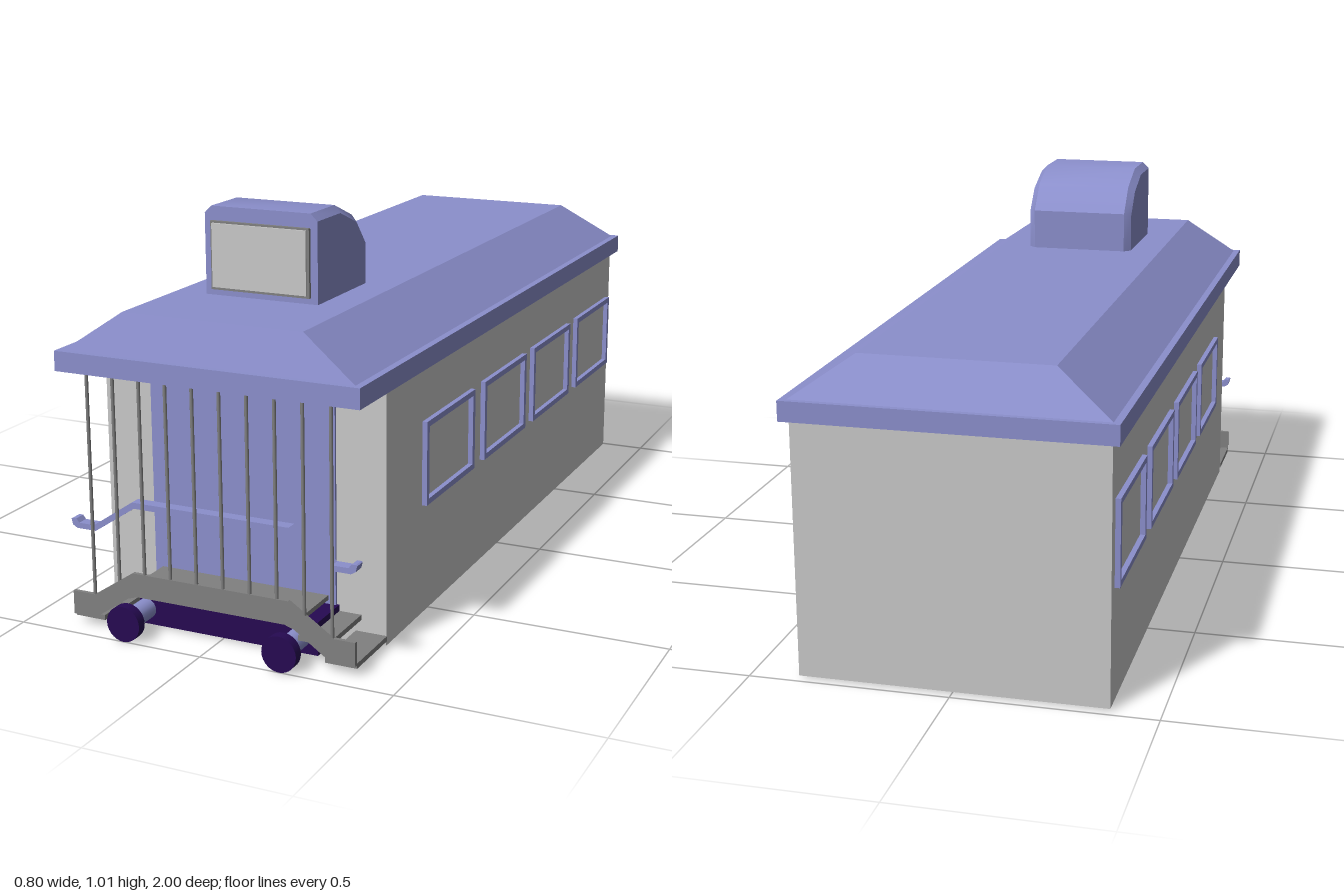
import * as THREE from 'three';
import { toCreasedNormals } from 'three/addons/utils/BufferGeometryUtils.js';

function material(name, color) {
  const m = new THREE.MeshStandardMaterial({ color });
  m.name = name;
  return m;
}

export function createModel() {
  const model = new THREE.Group();
  model.name = 'railCar';
  const wall = material('light grey', 0xc8c8c8);
  const purple = material('lavender', 0x8b8fcc);
  const metal = material('mid grey', 0x808080);
  const navy = material('dark navy', 0x260a52);

  function add(name, geometry, mat, parent = model) {
    const mesh = new THREE.Mesh(geometry, mat);
    mesh.name = name;
    parent.add(mesh);
    return mesh;
  }
  // box given by its limits on each axis
  function box(name, [x0, x1], [y0, y1], [z0, z1], mat, parent) {
    const g = new THREE.BoxGeometry(x1 - x0, y1 - y0, z1 - z0);
    g.translate((x0 + x1) / 2, (y0 + y1) / 2, (z0 + z1) / 2);
    return add(name, g, mat, parent);
  }
  // outline drawn in x, y and extruded from z0 to z1
  function plate(name, points, z0, z1, mat, parent) {
    const shape = new THREE.Shape(points.map(([x, y]) => new THREE.Vector2(x, y)));
    const g = new THREE.ExtrudeGeometry(shape, { depth: z1 - z0, bevelEnabled: false });
    g.translate(0, 0, z0);
    return add(name, g, mat, parent);
  }
  // closed symmetric band from the right halves of its lower and upper edges
  function band(lower, upper) {
    const flip = (pts) => pts.map(([x, y]) => [-x, y]);
    return [...flip(lower).reverse(), ...lower, ...[...upper].reverse(), ...flip(upper)];
  }
  const under = (side, bottom) => [side, side, side, bottom, side, side];

  // body and end panel
  box('body', [-0.38, 0.38], [0.01, 0.65], [-0.98, 0.77], under(wall, navy));
  box('endPanel', [-0.25, 0.25], [0.02, 0.65], [0.77, 0.776], purple);

  // roof: brim and hipped top
  box('roofBrim', [-0.4, 0.4], [0.65, 0.7], [-1, 0.96], under(purple, navy));
  const hip = new THREE.BoxGeometry(1, 0.1, 1);
  const hp = hip.attributes.position;
  for (let i = 0; i < hp.count; i++) {
    const top = hp.getY(i) > 0;
    const front = hp.getZ(i) > 0;
    hp.setXYZ(i, Math.sign(hp.getX(i)) * (top ? 0.237 : 0.382), top ? 0.8 : 0.7,
      front ? (top ? 0.91 : 0.945) : (top ? -0.91 : -0.985));
  }
  hip.computeVertexNormals();
  add('roofHip', hip, purple);

  // sign box with a rounded back
  const bevel = 0.018;
  const profile = new THREE.Shape();
  profile.moveTo(-0.66, 0.78);
  profile.lineTo(-0.37, 0.78);
  profile.lineTo(-0.37, 0.91);
  profile.lineTo(-0.43, 0.98);
  profile.lineTo(-0.53, 1.02);
  profile.lineTo(-0.66, 1.02);
  const sign = new THREE.ExtrudeGeometry(profile, {
    depth: 0.304 - 2 * bevel, bevelThickness: bevel, bevelSize: bevel, bevelOffset: -bevel, bevelSegments: 1,
  });
  sign.translate(0, 0, -0.152 + bevel).rotateY(Math.PI / 2);
  const sp = sign.attributes.position;
  for (let i = 0; i < sp.count; i++) if (sp.getZ(i) > 0.63) sp.setZ(i, 0.66); // flat front
  add('signBox', toCreasedNormals(sign, 0.65), purple);
  box('signFrame', [-0.133, 0.133], [0.815, 0.985], [0.655, 0.668], metal);
  box('signFace', [-0.127, 0.127], [0.822, 0.98], [0.66, 0.674], wall);

  // window frames on both sides
  for (const side of [-1, 1]) {
    for (const z of [0.393, -0.003, -0.392, -0.783]) {
      const frame = new THREE.Group();
      frame.name = 'windowFrame';
      model.add(frame);
      const xs = side > 0 ? [0.375, 0.393] : [-0.393, -0.375];
      const [z0, z1, w] = [z - 0.162, z + 0.162, 0.015];
      box('frameTop', xs, [0.51 - w, 0.51], [z0, z1], purple, frame);
      box('frameBottom', xs, [0.295, 0.295 + w], [z0, z1], purple, frame);
      box('frameBack', xs, [0.295 + w, 0.51 - w], [z0, z0 + w], purple, frame);
      box('frameFront', xs, [0.295 + w, 0.51 - w], [z1 - w, z1], purple, frame);
    }
  }

  // platform with arched fascia, deck and side steps
  const platform = new THREE.Group();
  platform.name = 'platform';
  model.add(platform);
  plate('fascia', band(
    [[0.2, 0.103], [0.225, 0.095], [0.32, 0.03], [0.382, 0.03]],
    [[0.21, 0.163], [0.32, 0.09], [0.382, 0.09]],
  ), 0.94, 0.95, metal, platform);
  box('deck', [-0.23, 0.23], [0.104, 0.116], [0.77, 0.94], under(metal, purple), platform);
  for (const s of [-1, 1]) {
    const span = (a, b) => (s > 0 ? [a, b] : [-b, -a]);
    box('upperStep', span(0.23, 0.315), [0.065, 0.078], [0.77, 0.94], metal, platform);
    box('lowerStep', span(0.3, 0.382), [0.022, 0.035], [0.77, 0.94], metal, platform);
  }

  // railing posts
  for (let i = 0; i < 10; i++) {
    const x = (i - 4.5) * 0.0715;
    const y0 = Math.abs(x) > 0.3 ? 0.08 : Math.abs(x) > 0.2 ? 0.12 : 0.155;
    const g = new THREE.CylinderGeometry(0.0045, 0.0045, 0.65 - y0, 10);
    g.translate(x, (0.65 + y0) / 2, 0.945);
    add('post', g, metal);
  }

  // handrail with upturned ends
  plate('handrail', band(
    [[0.205, 0.326], [0.315, 0.253], [0.368, 0.253], [0.38, 0.26], [0.384, 0.275]],
    [[0.21, 0.341], [0.32, 0.267], [0.362, 0.267], [0.37, 0.277], [0.38, 0.277]],
  ), 0.912, 0.942, purple);

  // beam and buffers
  box('bufferBeam', [-0.257, 0.257], [0.01, 0.094], [0.77, 0.89], under(navy, purple));
  for (const x of [-0.21, 0.21]) {
    const stem = new THREE.CylinderGeometry(0.026, 0.026, 0.09, 20);
    stem.rotateX(Math.PI / 2).translate(x, 0.05, 0.93);
    add('bufferStem', stem, purple);
    const head = new THREE.CylinderGeometry(0.045, 0.045, 0.026, 28);
    head.rotateX(Math.PI / 2).translate(x, 0.05, 0.987);
    add('bufferHead', head, navy);
  }
  return model;
}
